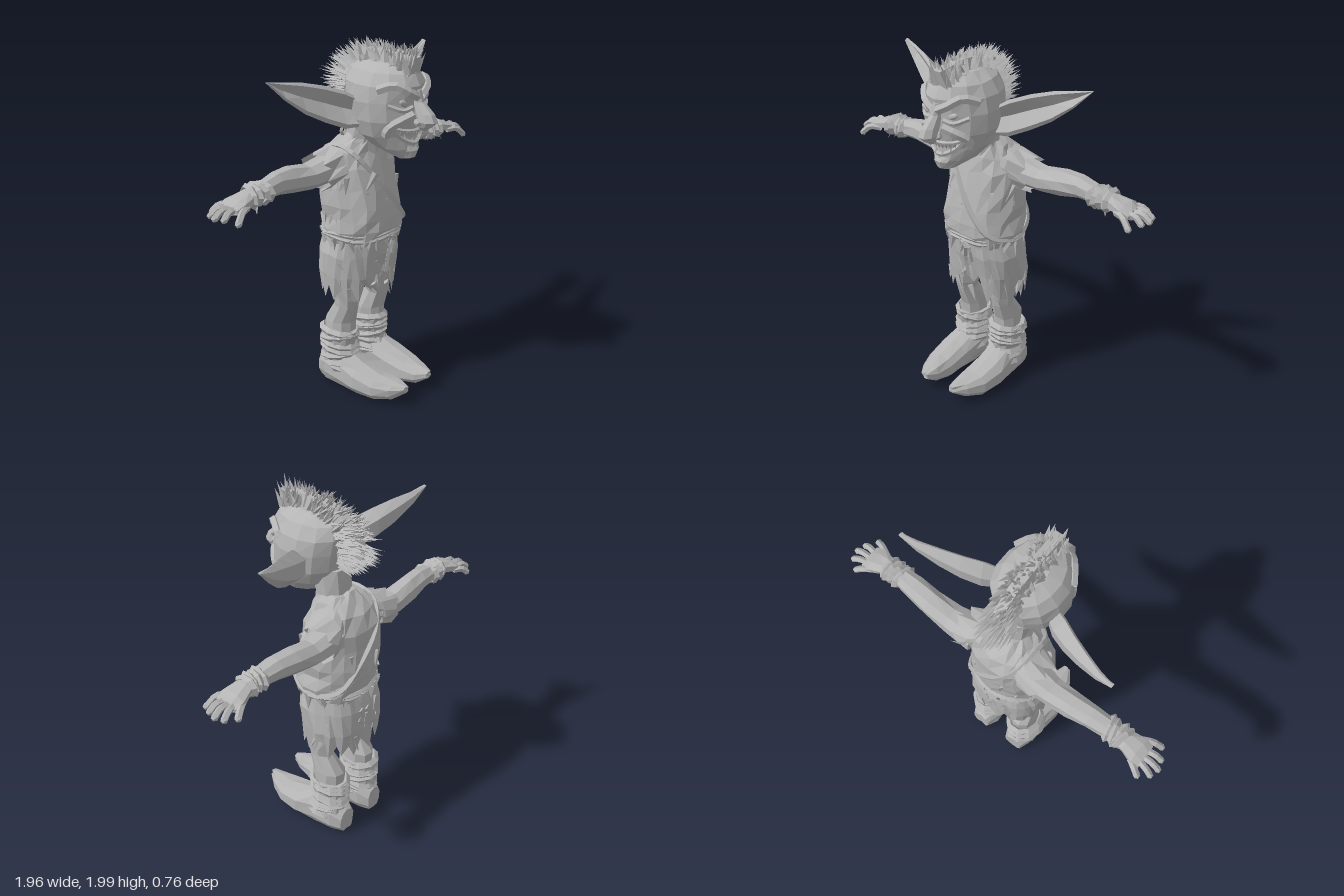
import * as THREE from 'three';
import { mergeGeometries } from 'three/addons/utils/BufferGeometryUtils.js';

const V = (x, y, z) => new THREE.Vector3(x, y, z);

export function createModel() {
  const model = new THREE.Group();
  const clay = new THREE.MeshStandardMaterial({ color: 0xb4b4b4, flatShading: true, side: THREE.DoubleSide });
  clay.name = 'plain grey';
  let seed = 7;
  const rnd = () => (seed = (seed * 16807) % 2147483647) / 2147483647;
  const jit = (a) => (rnd() - 0.5) * 2 * a;

  const add = (name, geometry) => {
    const m = new THREE.Mesh(geometry, clay);
    m.name = name;
    model.add(m);
    return m;
  };

  // Skin a list of point rings; closed ends get a fan, winding is turned outward
  function skin(rings, capped = true) {
    const n = rings[0].length, pos = [], idx = [];
    rings.forEach((r) => r.forEach((p) => pos.push(p.x, p.y, p.z)));
    for (let i = 0; i < rings.length - 1; i++) for (let j = 0; j < n; j++) {
      const a = i * n + j, b = i * n + (j + 1) % n;
      idx.push(a, b, a + n, b, b + n, a + n);
    }
    if (capped) [0, rings.length - 1].forEach((i) => {
      const c = rings[i].reduce((s, p) => s.add(p), V(0, 0, 0)).divideScalar(n);
      const k = pos.length / 3;
      pos.push(c.x, c.y, c.z);
      for (let j = 0; j < n; j++) {
        const a = i * n + j, b = i * n + (j + 1) % n;
        if (i === 0) idx.push(k, b, a); else idx.push(k, a, b);
      }
    });
    let vol = 0;
    const at = (k) => V(pos[k * 3], pos[k * 3 + 1], pos[k * 3 + 2]);
    for (let t = 0; t < idx.length; t += 3) vol += at(idx[t]).dot(at(idx[t + 1]).cross(at(idx[t + 2])));
    if (vol < 0) for (let t = 0; t < idx.length; t += 3) [idx[t], idx[t + 1]] = [idx[t + 1], idx[t]];
    const g = new THREE.BufferGeometry();
    g.setAttribute('position', new THREE.Float32BufferAttribute(pos, 3));
    g.setIndex(idx);
    g.computeVertexNormals();
    return g;
  }

  // Elliptic rings across an axis; each section is [x, y, z, radius1, radius2]
  function rings(sections, axis, n, noise = 0, power = 1) {
    return sections.map(([x, y, z, a, b]) => Array.from({ length: n }, (_, j) => {
      const t = (j + 0.5) / n * Math.PI * 2;
      const sq = (v) => Math.sign(v) * Math.abs(v) ** power;
      const u = sq(Math.cos(t)) * a, v = sq(Math.sin(t)) * b;
      const p = axis === 'y' ? V(x + u, y, z + v) : axis === 'x' ? V(x, y + v, z + u) : V(x + u, y + v, z);
      return p.add(V(jit(noise), jit(noise), jit(noise)));
    }));
  }
  const loft = (name, sections, axis, n = 8, noise = 0, power = 1) =>
    add(name, skin(rings(sections, axis, n, noise, power)));

  // Tapered points such as hair, teeth and rags: [base, tip, radius, flatness]
  const spikes = (name, list) => add(name, mergeGeometries(list.map(([base, tip, r, flat = 1]) => {
    const d = tip.clone().sub(base), len = d.length();
    const g = new THREE.ConeGeometry(r, len, 4, 1).translate(0, len / 2, 0).scale(1, 1, flat);
    g.applyQuaternion(new THREE.Quaternion().setFromUnitVectors(V(0, 1, 0), d.normalize()));
    return g.translate(base.x, base.y, base.z);
  })));
  const cord = (name, pts, r, closed = false, seg = 20, sides = 5) =>
    add(name, new THREE.TubeGeometry(new THREE.CatmullRomCurve3(pts, closed), seg, r, sides, closed));

  // Head and its front surface, used to seat the features
  const head = [[0, 1.395, 0.2, 0.045, 0.04], [0, 1.45, 0.125, 0.11, 0.13], [0, 1.52, 0.085, 0.165, 0.165],
    [0, 1.6, 0.075, 0.197, 0.2], [0, 1.7, 0.065, 0.2, 0.21], [0, 1.78, 0.065, 0.185, 0.22],
    [0, 1.84, 0.06, 0.145, 0.19], [0, 1.88, 0.06, 0.075, 0.11]];
  loft('head', head, 'y', 14, 0.003);
  const face = (x, y, out = 0) => {
    let i = 0;
    while (i < head.length - 2 && head[i + 1][1] < y) i++;
    const p = head[i], q = head[i + 1], k = (y - p[1]) / (q[1] - p[1]);
    const mix = (c) => p[c] + (q[c] - p[c]) * k;
    return V(x, y, mix(2) + mix(4) * Math.sqrt(Math.max(0.05, 1 - (x / mix(3)) ** 2)) + out);
  };
  loft('neck', [[0, 1.36, -0.1, 0.13, 0.12], [0, 1.46, -0.07, 0.1, 0.09], [0, 1.6, -0.03, 0.1, 0.12]], 'y', 9);
  loft('nose', [[0, 1.76, 0.265, 0.022, 0.025], [0, 1.7, 0.275, 0.026, 0.035], [0, 1.645, 0.315, 0.038, 0.058],
    [0, 1.605, 0.335, 0.045, 0.056], [0, 1.575, 0.32, 0.03, 0.038], [0, 1.555, 0.305, 0.012, 0.02]], 'y', 8);
  loft('chin', [[0, 1.4, 0.225, 0.035, 0.03], [0, 1.44, 0.235, 0.05, 0.035], [0, 1.48, 0.215, 0.07, 0.03]], 'y', 7);

  // Grinning mouth
  const grin = (low) => [-0.13, -0.08, 0, 0.08, 0.13].map((x) => face(x, 1.575 - low * (1 - (x / 0.13) ** 2), 0.002));
  cord('upperLip', grin(0.03), 0.011);
  cord('lowerLip', grin(0.095), 0.013);
  const teeth = [];
  for (let i = -4; i <= 4; i++) {
    const x = i * 0.022, c = 1 - (x / 0.13) ** 2;
    teeth.push([face(x, 1.572 - 0.03 * c, 0.004), face(x, 1.54 - 0.03 * c, 0.004), 0.01]);
    if (i % 2) teeth.push([face(x, 1.575 - 0.09 * c, 0.006), face(x, 1.6 - 0.09 * c, 0.008), 0.009]);
  }
  spikes('teeth', teeth);

  for (const s of [1, -1]) {
    const side = s > 0 ? 'left' : 'right';
    // Features of each half of the face
    cord(side + 'Brow', [face(s * 0.015, 1.725, 0.005), face(s * 0.07, 1.755, 0.006), face(s * 0.12, 1.79, -0.002),
      face(s * 0.17, 1.765, -0.008)], 0.024, false, 7);
    const eye = add(side + 'Eye', new THREE.IcosahedronGeometry(0.028, 1).scale(1.2, 0.6, 0.5));
    eye.position.copy(face(s * 0.085, 1.7, -0.005));
    eye.rotation.z = s * 0.4;
    cord(side + 'EyeBag', [face(s * 0.04, 1.675, 0), face(s * 0.09, 1.663, 0.001), face(s * 0.15, 1.69, -0.005)], 0.013, false, 7);
    cord(side + 'Cheek', [face(s * 0.035, 1.635, 0), face(s * 0.09, 1.615, -0.004), face(s * 0.14, 1.57, -0.006),
      face(s * 0.135, 1.53, -0.006)], 0.025, false, 7);
    const nostril = add(side + 'Nostril', new THREE.IcosahedronGeometry(0.024, 0));
    nostril.position.set(s * 0.032, 1.6, 0.3);

    // Cupped ear: top rim, back bulge, bottom rim, hollow front
    const ear = [[0.17, 1.71, 1.56, 0.03, 0.05], [0.24, 1.755, 1.56, -0.005, 0.065], [0.33, 1.79, 1.602, -0.055, 0.055],
      [0.43, 1.817, 1.66, -0.1, 0.038], [0.53, 1.832, 1.745, -0.14, 0.02], [0.615, 1.845, 1.838, -0.165, 0.003]];
    add(side + 'Ear', skin(ear.map(([x, t, b, z, d]) => {
      const m = (t + b) / 2, h = (t - b) / 2;
      return [V(s * x, t, z), V(s * (x - d * 0.4), m + h * 0.5, z - d * 0.9), V(s * (x - d * 0.4), m - h * 0.4, z - d * 0.9),
        V(s * x, b, z + 0.01), V(s * x, b + h * 0.25, z + 0.022), V(s * (x - d * 0.3), m, z - d * 0.4),
        V(s * x, t - h * 0.2, z + 0.014)];
    })));

    // Arm with bound wrist and spread fingers
    loft(side + 'Arm', [[s * 0.15, 1.3, -0.18, 0.1, 0.075], [s * 0.32, 1.283, -0.19, 0.078, 0.066], [s * 0.45, 1.303, -0.19, 0.07, 0.07],
      [s * 0.56, 1.318, -0.185, 0.063, 0.062], [s * 0.7, 1.305, -0.175, 0.052, 0.045], [s * 0.77, 1.302, -0.175, 0.06, 0.037],
      [s * 0.84, 1.288, -0.18, 0.08, 0.032], [s * 0.885, 1.272, -0.183, 0.07, 0.024]], 'x', 8, 0.004);
    [0.66, 0.69, 0.72, 0.745].forEach((x, i) => {
      const wrap = add(side + 'WristWrap', new THREE.TorusGeometry(0.051, 0.016, 4, 8));
      wrap.position.set(s * x, 1.304, -0.175);
      wrap.rotation.set(0, Math.PI / 2 + jit(0.3), i % 2 ? 0.3 : 0);
      wrap.scale.set(1.2, 0.92, 1.2);
    });
    spikes(side + 'WristRags', [0, 1, 2, 3].map((i) => [V(s * (0.68 + i * 0.02), 1.27, -0.2 + i * 0.02),
      V(s * (0.68 + i * 0.025), 1.215 + rnd() * 0.03, -0.21 + i * 0.03), 0.014, 0.4]));
    [[0.9, -0.275, 0.83, -0.235], [0.95, -0.235, 0.87, -0.215], [0.965, -0.188, 0.88, -0.185], [0.95, -0.14, 0.87, -0.15],
      [0.915, -0.08, 0.81, -0.125]].forEach(([x, z, bx, bz], i) => {
      const y = i === 4 ? 1.235 : 1.252;
      cord(side + 'Finger', [V(s * bx, 1.277, bz), V(s * (bx * 0.45 + x * 0.55), 1.278, bz * 0.4 + z * 0.6), V(s * x, y, z)], 0.018, false, 5);
      add(side + 'Fingertip', new THREE.IcosahedronGeometry(0.019, 0)).position.set(s * x, y, z);
    });

    // Torn sleeve
    const sleeve = rings([[s * 0.08, 1.35, -0.12, 0.11, 0.1], [s * 0.17, 1.315, -0.16, 0.118, 0.107],
      [s * 0.25, 1.29, -0.185, 0.105, 0.095]], 'x', 14, 0.007);
    sleeve[2].forEach((p, j) => { p.x += s * ((j % 2 ? 0.025 : -0.02) + jit(0.015)); });
    add(side + 'Sleeve', skin(sleeve, false));

    // Leg
    loft(side + 'Leg', [[s * 0.11, 0.86, -0.12, 0.1, 0.13], [s * 0.125, 0.68, -0.11, 0.085, 0.1], [s * 0.13, 0.55, -0.1, 0.062, 0.078],
      [s * 0.13, 0.5, -0.105, 0.056, 0.07], [s * 0.125, 0.4, -0.152, 0.073, 0.092], [s * 0.125, 0.3, -0.155, 0.075, 0.09]], 'y', 9, 0.005);
    // Soft shoe with a flat sole and a raised, inward-curving toe
    const foot = rings([[s * 0.12, 0.085, -0.28, 0.055, 0.075], [s * 0.12, 0.105, -0.22, 0.085, 0.105], [s * 0.125, 0.11, -0.1, 0.09, 0.11],
      [s * 0.132, 0.09, 0.02, 0.098, 0.09], [s * 0.128, 0.074, 0.14, 0.092, 0.07], [s * 0.112, 0.08, 0.235, 0.062, 0.052],
      [s * 0.1, 0.1, 0.3, 0.022, 0.02]], 'z', 10, 0.004, 0.85);
    foot.forEach((r, i) => r.forEach((p) => { p.y = Math.max(p.y, [0.02, 0.01, 0, 0, 0.008, 0.03, 0.08][i]); }));
    add(side + 'Shoe', skin(foot));
    loft(side + 'BootShaft', [[s * 0.125, 0.1, -0.155, 0.088, 0.115], [s * 0.125, 0.2, -0.16, 0.085, 0.105],
      [s * 0.125, 0.34, -0.155, 0.095, 0.11]], 'y', 10, 0.006);
    // Cloth bindings
    for (let i = 0; i < 7; i++) {
      const wrap = add(side + 'BootWrap', new THREE.TorusGeometry(0.092, 0.019, 4, 10));
      wrap.position.set(s * 0.125, 0.33 - i * 0.034, -0.158 + Math.max(0, i - 4) * 0.015);
      wrap.rotation.set(Math.PI / 2 + jit(0.22), jit(0.2), 0);
      wrap.scale.set(0.95, 1.12, 1.2);
    }
    [0.04, -0.03].forEach((z) => cord(side + 'ShoeWrap', [V(s * 0.05, 0.06, z), V(s * 0.065, 0.125, z - 0.02),
      V(s * 0.13, 0.17 - z * 0.2, z - 0.03), V(s * 0.195, 0.125, z), V(s * 0.21, 0.06, z + 0.02)], 0.014, false, 10, 4));
  }
  const ring = add('earring', new THREE.TorusGeometry(0.018, 0.01, 4, 8));
  ring.position.set(-0.24, 1.55, -0.01);

  // Mohawk: a low crest full of spikes sweeping over the skull
  const roots = new THREE.CatmullRomCurve3([V(0, 1.84, 0.25), V(0, 1.88, 0.1), V(0, 1.865, -0.04), V(0, 1.8, -0.12),
    V(0, 1.72, -0.15), V(0, 1.64, -0.15)]);
  const tips = new THREE.CatmullRomCurve3([V(0, 1.98, 0.29), V(0, 1.985, 0.08), V(0, 1.97, -0.11), V(0, 1.88, -0.29),
    V(0, 1.71, -0.37), V(0, 1.6, -0.25)]);
  const hair = [];
  for (let i = 0; i < 280; i++) {
    const t = i / 279, x = jit(0.06);
    const a = roots.getPoint(t), b = tips.getPoint(Math.min(1, Math.max(0, t + jit(0.07))));
    const k = (0.8 + rnd() * 0.3) * (1 - Math.abs(x) * 5);
    const tip = a.clone().lerp(b, k);
    tip.x = x * 1.1 + jit(0.025);
    tip.y = Math.min(tip.y, 2);
    a.x = x;
    hair.push([a, tip, 0.02, 0.7]);
  }
  spikes('mohawk', hair);
  const crest = [0, 0.2, 0.4, 0.6, 0.8, 1].map((t) => {
    const a = roots.getPoint(t), m = a.clone().lerp(tips.getPoint(t), 0.55);
    a.lerp(m, -0.2);
    return [V(-0.05, a.y, a.z), V(-0.025, m.y, m.z), V(0.025, m.y, m.z), V(0.05, a.y, a.z)];
  });
  add('hairCrest', skin(crest));

  // Crumpled shirt
  const shirt = [[0, 0.9, -0.1, 0.21, 0.185], [0, 0.97, -0.1, 0.225, 0.2], [0, 1.03, -0.1, 0.216, 0.198], [0, 1.1, -0.108, 0.214, 0.198],
    [0, 1.2, -0.12, 0.208, 0.188], [0, 1.31, -0.13, 0.203, 0.17], [0, 1.39, -0.125, 0.178, 0.138], [0, 1.44, -0.11, 0.13, 0.105],
    [0, 1.475, -0.095, 0.09, 0.08]];
  loft('shirt', shirt, 'y', 18, 0.011, 0.85);

  // Ragged breeches with a jagged hem, shorter in front
  const skirt = rings([[0, 0.93, -0.1, 0.2, 0.175], [0, 0.82, -0.115, 0.222, 0.185], [0, 0.7, -0.125, 0.225, 0.178],
    [0, 0.57, -0.13, 0.215, 0.165]], 'y', 32, 0.009, 0.85);
  skirt[3].forEach((p, j) => {
    const front = Math.abs(p.x) < 0.1 && p.z > -0.1;
    p.y += (front ? 0.11 : 0.02) + (j % 2 ? -0.045 : 0.035) + jit(0.025);
  });
  add('breeches', skin(skirt, false));

  // Rags around the waist and loose folds on the cloth
  const rags = [], folds = [];
  const around = (t, a, b, y, z) => V(Math.cos(t) * a, y, z + Math.sin(t) * b);
  for (let i = 0; i < 26; i++) {
    const t = i / 26 * Math.PI * 2 + jit(0.1);
    rags.push([around(t, 0.213, 0.188, 0.93, -0.1), around(t + jit(0.12), 0.226, 0.195, 0.86 + jit(0.035), -0.1), 0.03, 0.35]);
  }
  spikes('waistRags', rags);
  for (let i = 0; i < 60; i++) {
    const t = rnd() * Math.PI * 2, low = i % 2, y = low ? 0.62 + rnd() * 0.24 : 1.02 + rnd() * 0.3;
    const z = low ? -0.122 : -0.115, a = low ? 0.217 : 0.205, b = low ? 0.177 : 0.188;
    folds.push([around(t, a, b, y, z), around(t + jit(0.35), a + 0.012, b + 0.006, y - 0.05 - rnd() * 0.06, z), 0.022, 0.5]);
  }
  spikes('clothFolds', folds);

  // Rope belt with hanging ends, and the diagonal strap
  [0.925, 0.945].forEach((y) => cord('belt', Array.from({ length: 12 }, (_, i) =>
    around(i / 6 * Math.PI, 0.218, 0.192, y + jit(0.012), -0.1)), 0.014, true, 36));
  cord('beltKnot', [V(-0.01, 0.93, 0.09), V(0.03, 0.91, 0.1), V(0.015, 0.82, 0.078), V(0.02, 0.7, 0.06)], 0.013, false, 8, 4);
  cord('beltEnd', [V(0.02, 0.93, 0.09), V(0.05, 0.9, 0.095), V(0.055, 0.8, 0.072)], 0.011, false, 6, 4);
  cord('strap', [V(-0.15, 1.4, -0.03), V(-0.07, 1.28, 0.042), V(0.06, 1.1, 0.088), V(0.16, 0.98, 0.06), V(0.218, 0.935, -0.08),
    V(0.17, 0.98, -0.25), V(0.06, 1.12, -0.3), V(-0.07, 1.29, -0.295), V(-0.14, 1.39, -0.22), V(-0.15, 1.425, -0.12)], 0.016, true, 40, 4);
  return model;
}
